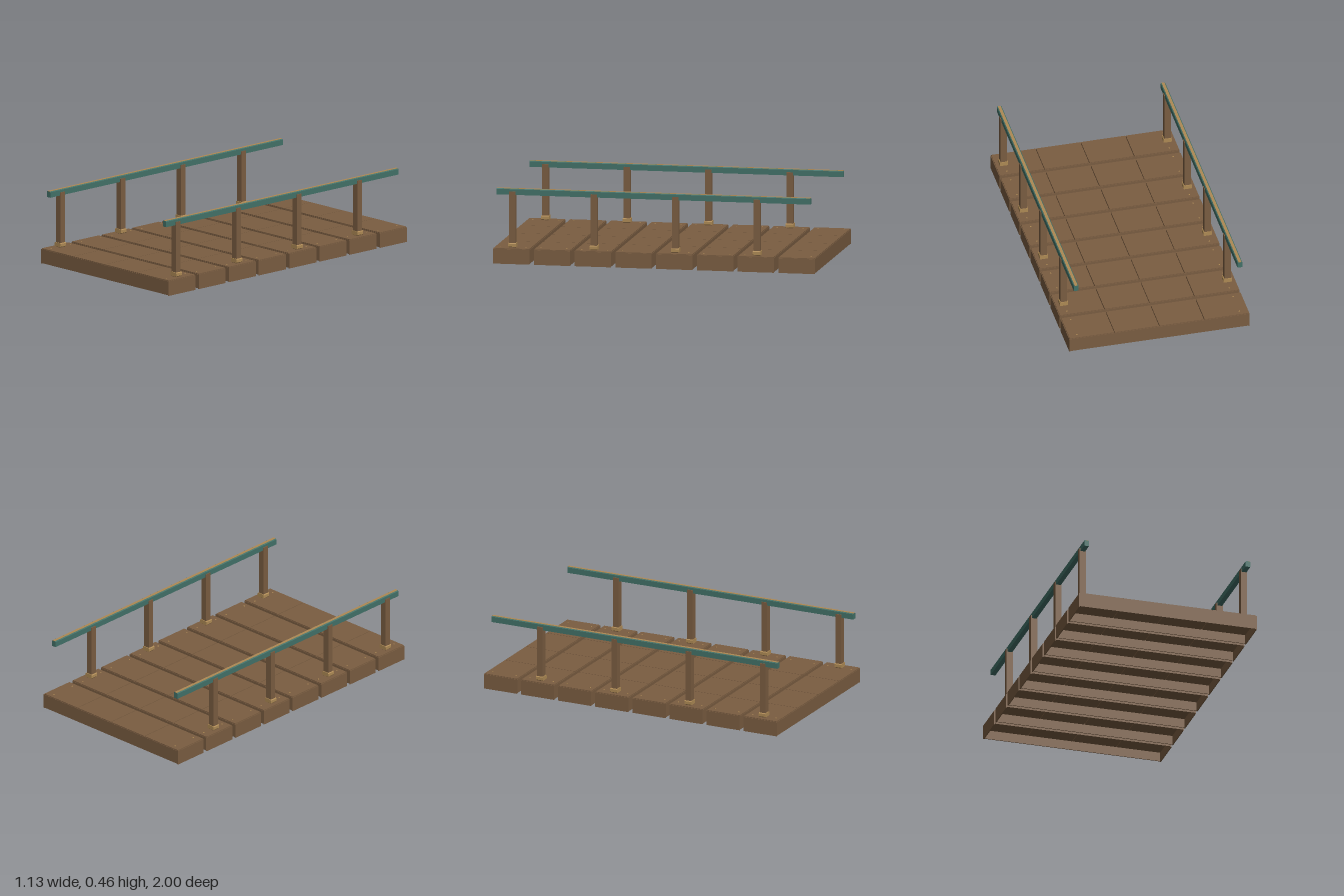
import * as THREE from 'three';

const mat = (name, color) => {
  const m = new THREE.MeshStandardMaterial({ color });
  m.name = name;
  return m;
};

// Bar extruded along z, with chamfers on its top and (optionally) bottom corners
function chamferedBar(width, height, length, top, bottom) {
  const w = width / 2, h = height / 2;
  const s = new THREE.Shape([
    [-w + bottom, -h], [w - bottom, -h], [w, -h + bottom], [w, h - top],
    [w - top, h], [-w + top, h], [-w, h - top], [-w, -h + bottom],
  ].map(([x, y]) => new THREE.Vector2(x, y)));
  const geo = new THREE.ExtrudeGeometry(s, { depth: length, bevelEnabled: false });
  return geo.translate(0, 0, -length / 2);
}

export function createModel() {
  const model = new THREE.Group();
  model.name = 'footbridge';
  const wood = mat('brown wood', 0x7a5d41);
  const teal = mat('teal paint', 0x427168);
  const brass = mat('tan brass', 0xae8a55);

  const add = (name, geo, material, x, y, z) => {
    const m = new THREE.Mesh(geo, material);
    m.name = name;
    m.position.set(x, y, z);
    model.add(m);
  };

  const deckTop = 0.096, railX = 0.514, pitch = 0.2532, halfDepth = 0.1138;
  const wall = 0.006, boardPitch = 0.282;
  const board = new THREE.BoxGeometry(boardPitch - 0.004, 0.036, 2 * halfDepth - 0.006);
  const fascia = new THREE.BoxGeometry(1.124, 0.087, wall);
  const endWall = new THREE.BoxGeometry(wall, 0.091, 2 * halfDepth - 0.002);
  const nail = new THREE.CylinderGeometry(0.005, 0.005, 0.002, 8);
  const post = new THREE.BoxGeometry(0.04, 0.347, 0.038);
  const collar = chamferedBar(0.052, 0.025, 0.048, 0.004, 0.003);

  for (let i = 0; i < 8; i++) {
    const z = 0.8862 - i * pitch;
    // Four short boards on a hollow frame
    for (let k = 0; k < 4; k++) add('board', board, wood, (k - 1.5) * boardPitch, deckTop - 0.018, z);
    for (const side of [-1, 1]) {
      add('fascia', fascia, wood, 0, 0.0475, z + side * (halfDepth - wall / 2));
      add('endWall', endWall, wood, side * (0.566 - wall / 2), 0.0455, z);
      for (const dz of [-0.08, 0.08]) add('nail', nail, brass, side * 0.51, deckTop, z + dz);
      // Posts on every second plank
      if (i % 2 === 0) {
        add('post', post, wood, side * railX, 0.2685, z);
        add('postCollar', collar, brass, side * railX, 0.1125, z);
      }
    }
  }

  // Handrails with a thin cap strip
  const rail = chamferedBar(0.03, 0.038, 1.95, 0.004, 0);
  const cap = new THREE.BoxGeometry(0.018, 0.002, 1.95);
  for (const side of [-1, 1]) {
    add('handrail', rail, teal, side * railX, 0.441, 0.01);
    add('handrailCap', cap, brass, side * railX, 0.4603, 0.01);
  }
  return model;
}
